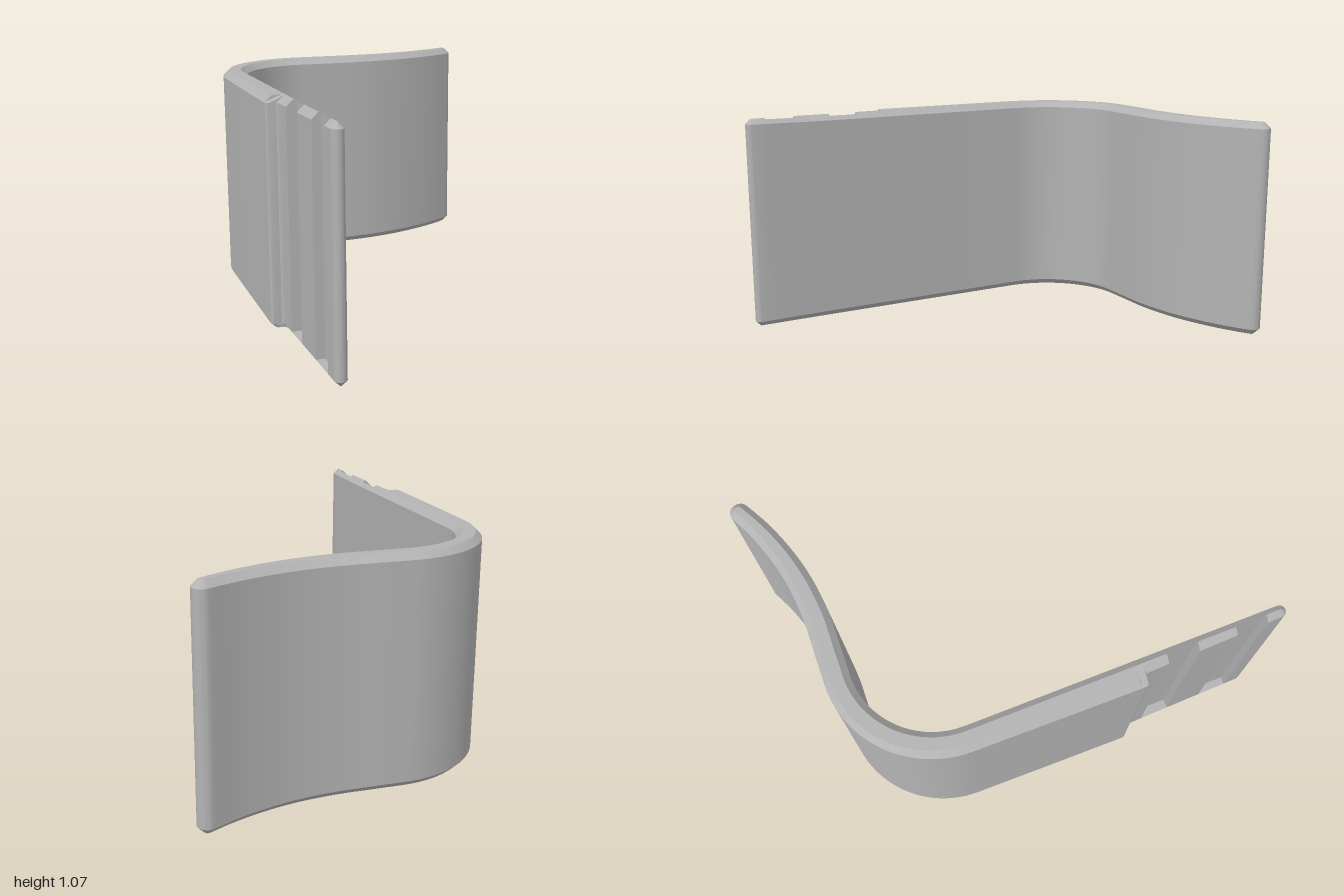
import * as THREE from 'three';
import { toCreasedNormals } from 'three/addons/utils/BufferGeometryUtils.js';

const H = 1.07;        // height of the strip
const CHAMFER = 0.03;  // bevel on the top and bottom edges
const V = (x, z) => new THREE.Vector2(x, z);
const along = (p, d, k) => p.clone().addScaledVector(d, k);
const outward = (f) => V(f.y, -f.x); // outer side of a path running along f
const chamferFor = (T) => Math.min(CHAMFER, T / 2 - 0.002);

// Eight-point chamfered section: i/o are outline points, ii/oo the inset ones.
function ring(i, o, ii, oo, c) {
  return [[i, c], [i, H - c], [ii, H], [oo, H], [o, H - c], [o, c], [oo, 0], [ii, 0]];
}

// Section of thickness T starting at inner point I
function section(I, out, T, Tin = T) {
  const c = chamferFor(Math.min(T, Tin));
  return ring(I, along(I, out, T), along(I, out, c), along(I, out, Tin - c), c);
}

// Section with a pocket cut from the outer face, open at the top
function pocketSection(I, out, T, wall) {
  const c = chamferFor(T);
  const r = section(I, out, T);
  const floor = along(I, out, wall);
  r[2] = [floor, H - c + wall];
  r[3] = [floor, c];
  r[4] = [along(I, out, T), c];
  return r;
}

// Rounded end about centre C; sign -1 starts the strip, +1 finishes it
function roundEnd(C, f, h, sign) {
  const out = outward(f), c = chamferFor(2 * h), rings = [], n = 8;
  for (let k = 0; k <= n; k++) {
    const a = (k / n) * Math.PI / 2;
    const at = (r, side) => along(along(C, f, sign * r * Math.sin(a)), out, side * r * Math.cos(a));
    rings.push(ring(at(h, -1), at(h, 1), at(h - c, -1), at(h - c, 1), c));
  }
  return sign < 0 ? rings.reverse() : rings;
}

// Straight leg: thin tongue with two pockets, a step, then the thick part
function legRings() {
  const dir = V(-0.122, 0.9925).normalize();
  const f = dir.clone().negate(), out = outward(f);
  const inner = (s) => along(V(-0.598, -0.51), dir, s);
  const thin = (s) => 0.072 - 0.016 * (s - 0.83) / 0.665;
  const end = 1.495, h = thin(end) / 2;
  const rings = roundEnd(along(inner(end), out, h), f, h, -1);
  for (const [a, b] of [[1.424, 1.272], [1.086, 0.935]]) {
    rings.push(section(inner(a), out, thin(a)));
    rings.push(pocketSection(inner(a), out, thin(a), 0.021));
    rings.push(pocketSection(inner(b), out, thin(b), 0.021));
    rings.push(section(inner(b), out, thin(b)));
  }
  // step: [position, thickness, thickness of the inset top edge]
  const step = [[0.84, 0.072, 0.072], [0.825, 0.075, 0.073], [0.818, 0.082, 0.073],
    [0.817, 0.113, 0.073], [0.813, 0.122, 0.073], [0.804, 0.128, 0.073],
    [0.788, 0.128, 0.08], [0.786, 0.128, 0.12], [0.776, 0.128, 0.128]];
  for (const [s, T, Tin] of step) rings.push(section(inner(s), out, T, Tin));
  rings.push(section(inner(0.35), out, 0.123));
  return rings;
}

// Rounded bend followed by the shallow wave and its rounded tip
function bendRings() {
  const C = V(-0.213, -0.462), R = 0.447, path = [];
  const from = Math.PI + 0.123, to = Math.PI * 1.5 + 0.2;
  for (let k = 0; k <= 12; k++) {
    const a = from + (to - from) * k / 12;
    path.push(new THREE.Vector3(C.x + R * Math.cos(a), 0, C.y + R * Math.sin(a)));
  }
  for (const [x, z] of [[0, -0.882], [0.13, -0.863], [0.28, -0.855], [0.42, -0.862],
    [0.56, -0.885], [0.68, -0.916], [0.79, -0.955]]) path.push(new THREE.Vector3(x, 0, z));
  const curve = new THREE.CatmullRomCurve3(path, false, 'centripetal');
  const rings = [], n = 64;
  for (let k = 0; k <= n; k++) {
    const u = k / n, p = curve.getPointAt(u), t = curve.getTangentAt(u);
    const f = V(t.x, t.z).normalize(), out = outward(f);
    const T = p.x < 0.1 ? 0.118 : 0.118 - 0.028 * Math.pow((p.x - 0.1) / 0.69, 1.3);
    const mid = V(p.x, p.z);
    if (k < n) rings.push(section(along(mid, out, -T / 2), out, T));
    else rings.push(...roundEnd(mid, f, T / 2, 1));
  }
  return rings;
}

// Skin consecutive rings with quads, skipping collapsed triangles
function loft(rings) {
  const pos = [];
  const pts = rings.map((r) => r.map(([p, y]) => new THREE.Vector3(p.x, y, p.y)));
  const tri = (a, b, c) => {
    if (new THREE.Triangle(a, b, c).getArea() > 1e-8) {
      for (const v of [a, b, c]) pos.push(v.x, v.y, v.z);
    }
  };
  for (let s = 0; s + 1 < pts.length; s++) {
    const A = pts[s], B = pts[s + 1];
    for (let k = 0; k < 8; k++) {
      const m = (k + 1) % 8;
      tri(A[k], B[m], A[m]);
      tri(A[k], B[k], B[m]);
    }
  }
  const g = new THREE.BufferGeometry();
  g.setAttribute('position', new THREE.Float32BufferAttribute(pos, 3));
  return toCreasedNormals(g, 0.5);
}

export function createModel() {
  const grey = new THREE.MeshStandardMaterial({ color: 0xb3b3b3 });
  grey.name = 'grey';
  const strip = new THREE.Mesh(loft([...legRings(), ...bendRings()]), grey);
  strip.name = 'bentStrip';
  const group = new THREE.Group();
  group.name = 'curvedBracket';
  group.add(strip);
  return group;
}
